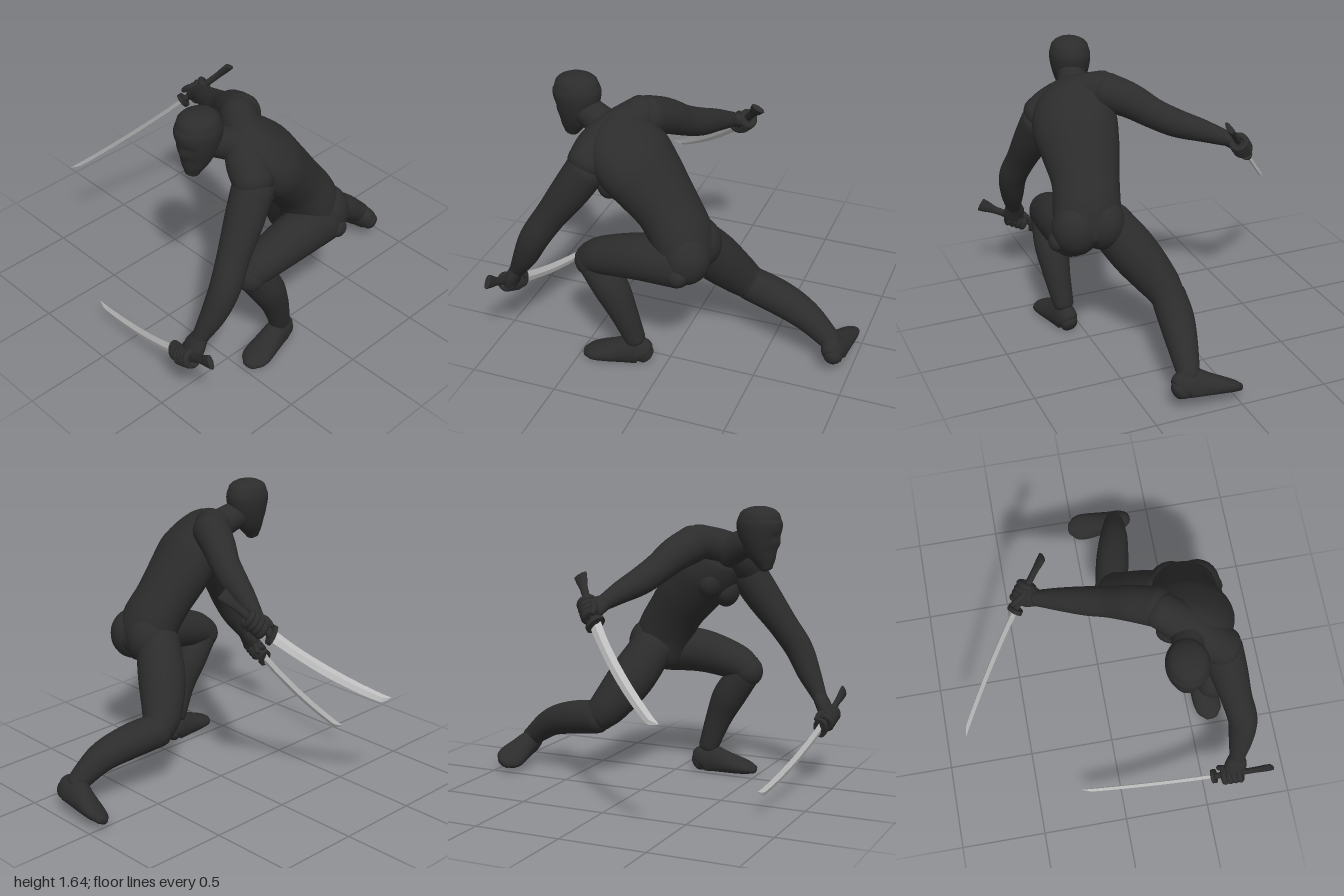
import * as THREE from 'three';

const V = (p) => new THREE.Vector3(p[0], p[1], p[2]);

// Smooth loft through sections [x, y, z, halfWidth, halfDepth]; the width axis blends from sideA to sideB
function loft(sections, { sideA = [1, 0, 0], sideB = sideA, n = 24, steps = 6, dome = 0.7 } = {}) {
  const path = new THREE.CatmullRomCurve3(sections.map(V), false, 'catmullrom');
  const size = new THREE.CatmullRomCurve3(sections.map((s) => new THREE.Vector3(s[3], s[4] ?? s[3], 0)), false, 'catmullrom');
  const count = (sections.length - 1) * steps;
  const rings = [];
  const addRing = (t, scale, push) => {
    const T = path.getTangent(t), r = size.getPoint(t);
    const a = V(sideA).lerp(V(sideB), t);
    a.addScaledVector(T, -a.dot(T)).normalize();
    const b = T.clone().cross(a);
    const c = path.getPoint(t).addScaledVector(T, push * dome * Math.min(r.x, r.y));
    const ring = [];
    for (let i = 0; i < n; i++) {
      const q = (i / n) * Math.PI * 2;
      ring.push(c.clone().addScaledVector(a, Math.cos(q) * r.x * scale).addScaledVector(b, Math.sin(q) * r.y * scale));
    }
    rings.push(ring);
  };
  const caps = 5;
  for (let k = caps; k > 0; k--) addRing(0, Math.max(0.01, Math.cos((k / caps) * Math.PI / 2)), -Math.sin((k / caps) * Math.PI / 2));
  for (let j = 0; j <= count; j++) addRing(j / count, 1, 0);
  for (let k = 1; k <= caps; k++) addRing(1, Math.max(0.01, Math.cos((k / caps) * Math.PI / 2)), Math.sin((k / caps) * Math.PI / 2));
  const index = [];
  for (let j = 0; j < rings.length - 1; j++) {
    for (let i = 0; i < n; i++) {
      const a = j * n + i, b = j * n + ((i + 1) % n);
      index.push(a, b, b + n, a, b + n, a + n);
    }
  }
  const g = new THREE.BufferGeometry().setFromPoints(rings.flat());
  g.setIndex(index);
  g.computeVertexNormals();
  return g;
}

// Moves each vertex by a rule
function deform(g, rule) {
  const p = g.attributes.position, v = new THREE.Vector3();
  for (let i = 0; i < p.count; i++) {
    rule(v.fromBufferAttribute(p, i));
    p.setXYZ(i, v.x, v.y, v.z);
  }
  g.computeVertexNormals();
  return g;
}

// Orients an object from two axes: main along X or Z, up along Y
function orient(obj, origin, main, up, mainIsX) {
  const m = V(main).normalize();
  const y = V(up);
  y.addScaledVector(m, -y.dot(m)).normalize();
  const o = mainIsX ? m.clone().cross(y) : y.clone().cross(m);
  obj.quaternion.setFromRotationMatrix(mainIsX ? new THREE.Matrix4().makeBasis(m, y, o) : new THREE.Matrix4().makeBasis(o, y, m));
  obj.position.copy(V(origin));
  return obj;
}

export function createModel() {
  const suit = new THREE.MeshStandardMaterial({ color: 0x2c2c2c });
  suit.name = 'charcoal';
  const steel = new THREE.MeshStandardMaterial({ color: 0xc0c0c0 });
  steel.name = 'steel';
  const root = new THREE.Group();
  root.name = 'crouchingSwordsman';
  const add = (name, geo, mat = suit, parent = root) => {
    const m = new THREE.Mesh(geo, mat);
    m.name = name;
    parent.add(m);
    return m;
  };
  const ball = (name, pos, scale) => {
    const m = add(name, new THREE.SphereGeometry(1, 24, 16));
    m.position.copy(V(pos));
    m.scale.copy(V(scale));
  };

  // Torso, leaning forward and twisted at the shoulders
  add('torso', loft([
    [0.53, 0.73, -0.12, 0.2, 0.155], [0.52, 0.86, -0.08, 0.19, 0.165], [0.495, 0.99, 0.0, 0.19, 0.16],
    [0.48, 1.13, 0.11, 0.22, 0.17], [0.475, 1.25, 0.21, 0.24, 0.175], [0.46, 1.36, 0.3, 0.2, 0.135], [0.43, 1.41, 0.37, 0.1, 0.09],
  ], { sideA: [1, 0, 0.05], sideB: [0.85, -0.45, 0.3], n: 36, dome: 0.5 }));
  add('shoulderYoke', loft([[0.29, 1.435, 0.22, 0.1], [0.44, 1.385, 0.32, 0.108], [0.53, 1.32, 0.39, 0.11], [0.61, 1.25, 0.42, 0.108]], { sideA: [0, 1, 0] }));
  add('neck', loft([[0.43, 1.37, 0.35, 0.1], [0.4, 1.41, 0.44, 0.086], [0.37, 1.46, 0.55, 0.08]]));
  ball('rightPectoral', [0.39, 1.19, 0.26], [0.115, 0.1, 0.075]);
  ball('leftPectoral', [0.53, 1.13, 0.31], [0.115, 0.1, 0.075]);
  ball('rightButtock', [0.46, 0.79, -0.15], [0.135, 0.15, 0.135]);
  ball('leftButtock', [0.61, 0.78, -0.14], [0.135, 0.15, 0.135]);
  ball('rightHipKnob', [0.33, 0.73, -0.17], [0.055, 0.055, 0.055]);
  ball('leftHipKnob', [0.72, 0.72, -0.13], [0.045, 0.055, 0.055]);

  // Masked head with a narrow jaw, shallow eye hollows and a slight nose ridge
  add('head', deform(loft([
    [0.362, 1.295, 0.615, 0.04, 0.042], [0.363, 1.34, 0.605, 0.065, 0.068], [0.364, 1.4, 0.588, 0.09, 0.098], [0.365, 1.47, 0.577, 0.109, 0.123],
    [0.366, 1.54, 0.572, 0.117, 0.134], [0.366, 1.585, 0.572, 0.107, 0.12],
  ], { n: 40, dome: 0.55 }), (v) => {
    if (v.z < 0.6) return;
    const x = v.x - 0.365;
    v.z += 0.012 * Math.exp(-((x / 0.016) ** 2) - ((v.y - 1.43) / 0.03) ** 2);
    v.z -= 0.01 * Math.exp(-(((Math.abs(x) - 0.045) / 0.025) ** 2) - ((v.y - 1.475) / 0.022) ** 2);
  }));

  // Legs: the left planted in front, the right stretched behind
  add('leftThigh', loft([[0.61, 0.74, -0.1, 0.14], [0.62, 0.735, 0.12, 0.13], [0.61, 0.69, 0.33, 0.11], [0.6, 0.65, 0.42, 0.092]]));
  ball('leftKnee', [0.6, 0.635, 0.425], [0.092, 0.095, 0.092]);
  add('leftCalf', loft([[0.6, 0.61, 0.405, 0.09], [0.605, 0.48, 0.31, 0.1], [0.605, 0.33, 0.24, 0.08], [0.59, 0.15, 0.18, 0.06]]));
  add('rightThigh', loft([[0.41, 0.77, -0.12, 0.13], [0.29, 0.6, -0.2, 0.138], [0.19, 0.45, -0.29, 0.118], [0.155, 0.38, -0.35, 0.1]]));
  add('rightCalf', loft([[0.15, 0.37, -0.36, 0.1], [0.19, 0.34, -0.55, 0.1], [0.23, 0.285, -0.72, 0.086], [0.26, 0.17, -0.88, 0.06]]));

  // Feet with flat soles
  const foot = (name, origin, forward, up) => {
    const rows = [[-0.07, 0.05, 0.1], [-0.04, 0.062, 0.15], [0.02, 0.066, 0.155], [0.09, 0.074, 0.125], [0.18, 0.083, 0.09], [0.24, 0.075, 0.065], [0.275, 0.045, 0.045]];
    const g = loft(rows.map(([z, w, h]) => [0, h * 0.42, z, w, h * 0.58]));
    orient(add(name, deform(g, (v) => { v.y = Math.max(v.y, 0); })), origin, forward, up, false);
  };
  foot('leftFoot', [0.59, 0, 0.19], [0.17, 0, 1], [0, 1, 0]);
  foot('rightFoot', [0.262, 0.07, -0.93], [-1, -0.1, 0], [0, 0.88, 0.47]);

  // Arms and palms
  add('leftArm', loft([[0.605, 1.22, 0.42, 0.112], [0.635, 1.08, 0.51, 0.105], [0.67, 0.92, 0.62, 0.088], [0.7, 0.78, 0.71, 0.083], [0.69, 0.64, 0.78, 0.07], [0.665, 0.51, 0.855, 0.045]]));
  add('rightArm', loft([[0.29, 1.42, 0.2, 0.11], [0.17, 1.37, 0.14, 0.1], [0.05, 1.295, 0.08, 0.086], [-0.07, 1.235, 0.03, 0.08], [-0.2, 1.19, -0.02, 0.065], [-0.33, 1.14, -0.07, 0.045]], { sideA: [0, 1, 0] }));
  add('leftPalm', loft([[0.665, 0.52, 0.85, 0.045, 0.04], [0.655, 0.46, 0.885, 0.065, 0.042], [0.65, 0.4, 0.91, 0.06, 0.04]]));
  add('rightPalm', loft([[-0.32, 1.145, -0.065, 0.045, 0.04], [-0.37, 1.12, -0.1, 0.065, 0.042], [-0.415, 1.09, -0.13, 0.06, 0.04]], { sideA: [-0.5, -0.5, 0.7] }));

  // Curved sword along +X with guard, flared grip and the fingers closed around it
  const sword = (side, origin, dir, spine) => {
    const g = new THREE.Group();
    g.name = side + 'Sword';
    const bend = (x) => 0.17 * x * (x - 0.8);
    const blade = loft([
      [0, 0.036], [0.15, 0.032], [0.35, 0.032], [0.55, 0.03], [0.72, 0.026], [0.76, 0.02], [0.8, 0.002],
    ].map(([x, w]) => [x, bend(x) + (x > 0.73 ? 0.026 - w : 0), 0, w, Math.min(0.011, w * 0.45)]), { sideA: [0, 1, 0], n: 4, steps: 3, dome: 0 }).toNonIndexed();
    blade.computeVertexNormals();
    add('blade', blade, steel, g);
    add('grip', loft([
      [-0.35, 0.042, 0.016], [-0.31, 0.036, 0.018], [-0.25, 0.024, 0.017], [-0.12, 0.024, 0.018], [0.01, 0.026, 0.018],
    ].map(([x, w, d]) => [x, bend(x), 0, w, d]), { sideA: [0, 1, 0], n: 12, steps: 3, dome: 0.2 }), suit, g);
    const guard = add('guard', new THREE.CylinderGeometry(0.05, 0.05, 0.022, 24).rotateZ(Math.PI / 2), suit, g);
    guard.scale.set(1, 1.2, 0.8);
    for (let i = 0; i < 4; i++) {
      const x = -0.065 - i * 0.031;
      const finger = add('finger', new THREE.TorusGeometry(0.04, 0.019, 10, 20).rotateY(Math.PI / 2), suit, g);
      finger.position.set(x, bend(x) - 0.008, 0);
    }
    add('thumb', loft([[-0.12, 0.055, 0.01, 0.02], [-0.07, 0.05, 0.03, 0.019], [-0.035, 0.03, 0.04, 0.015]], { sideA: [0, 1, 0], n: 12, steps: 3 }), suit, g);
    root.add(orient(g, origin, dir, spine, true));
  };
  sword('left', [0.53, 0.35, 0.91], [-0.77, -0.225, -0.1], [0, 1, 0]);
  sword('right', [-0.455, 1.04, -0.06], [-0.415, -0.445, 0.56], [0.25, 0.68, 0.68]);

  return root;
}
